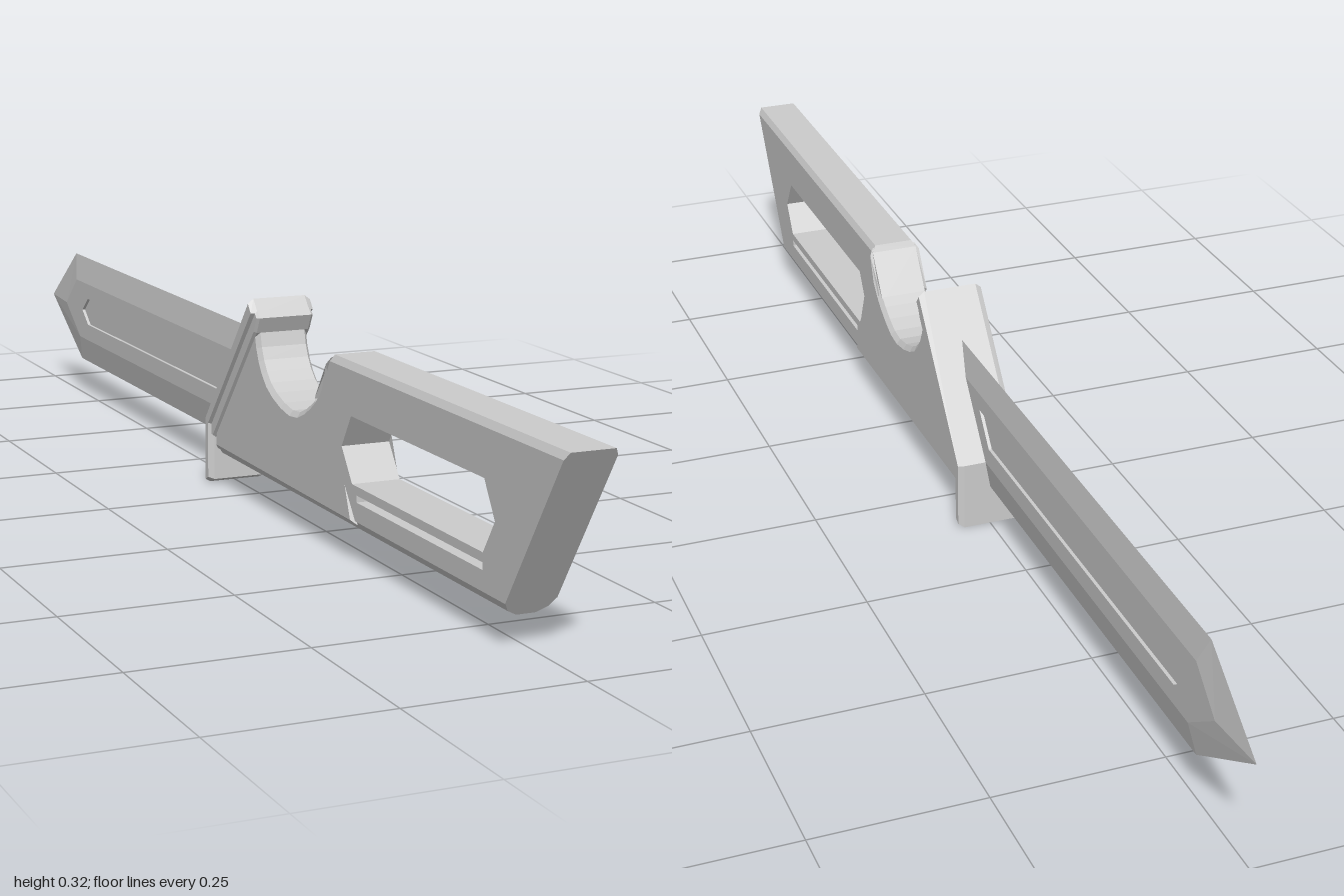
import * as THREE from 'three';

const material = new THREE.MeshStandardMaterial({ color: 0xcccccc, flatShading: true, side: THREE.DoubleSide });
const points = (list) => list.map(([a, b]) => new THREE.Vector2(a, b));

function makeMesh(name, geometry) {
  const mesh = new THREE.Mesh(geometry, material);
  mesh.name = name;
  return mesh;
}

// Side profile given as (z, y), extruded symmetrically across x, with an optional inward bevel
function sideProfile(name, outline, halfWidth, { holes = [], bevel = 0, inset = 0 } = {}) {
  const shape = new THREE.Shape(points(outline));
  holes.forEach((h) => shape.holes.push(new THREE.Path(points(h))));
  const depth = 2 * (halfWidth - bevel);
  const geometry = new THREE.ExtrudeGeometry(shape, {
    depth, bevelEnabled: bevel > 0, bevelThickness: bevel, bevelSize: inset, bevelOffset: -inset, bevelSegments: 1,
  });
  geometry.translate(0, 0, -depth / 2).rotateY(-Math.PI / 2);
  return makeMesh(name, geometry);
}

// Cross-section (x, y) running along z; both ends are cut at a slope depending on height
function rail(name, section, frontZ, rearZ) {
  const geometry = new THREE.ExtrudeGeometry(new THREE.Shape(points(section)), { depth: 1, bevelEnabled: false });
  const p = geometry.attributes.position;
  for (let i = 0; i < p.count; i++) {
    const y = p.getY(i);
    p.setZ(i, THREE.MathUtils.lerp(frontZ(y), rearZ(y), p.getZ(i)));
  }
  geometry.computeVertexNormals();
  return makeMesh(name, geometry);
}

// One half of the blade: ground bevels, flat with an opening, and a sunken fuller
function bladeSide(name, side) {
  const outer = [[0.03, 0.257], [-0.863, 0.257], [-1, 0.16], [-0.838, 0.064], [-0.09, 0.064]];
  const inner = [[0.0, 0.212], [-0.84, 0.212], [-0.9, 0.16], [-0.825, 0.108], [-0.065, 0.108]];
  const groove = [[-0.075, 0.185], [-0.78, 0.185], [-0.81, 0.16], [-0.78, 0.137], [-0.115, 0.137]];
  const top = 0.008, floor = 0.003;
  const positions = [];
  const triangle = (a, b, c) => (side > 0 ? [a, b, c] : [a, c, b])
    .forEach(([x, z, y]) => positions.push(x * side, y, z));
  const band = (a, xa, b, xb) => a.forEach((_, i) => {
    const j = (i + 1) % a.length;
    const [p, q, r, s] = [[xa, ...a[i]], [xa, ...a[j]], [xb, ...b[j]], [xb, ...b[i]]];
    triangle(p, r, q);
    triangle(p, s, r);
  });
  const fill = (contour, holes, x) => {
    const all = [...contour, ...holes.flat()];
    THREE.ShapeUtils.triangulateShape(points(contour), holes.map(points)).forEach((face) => {
      const [a, b, c] = face.map((i) => all[i]);
      const turn = (b[0] - a[0]) * (c[1] - a[1]) - (b[1] - a[1]) * (c[0] - a[0]);
      const corners = (turn < 0 ? [a, b, c] : [a, c, b]).map((v) => [x, ...v]);
      triangle(...corners);
    });
  };
  band(outer, 0, inner, top);
  fill(inner, [groove], top);
  band(groove, top, groove, floor);
  fill(groove, [], floor);
  const geometry = new THREE.BufferGeometry();
  geometry.setAttribute('position', new THREE.Float32BufferAttribute(positions, 3));
  geometry.computeVertexNormals();
  return makeMesh(name, geometry);
}

export function createModel() {
  const model = new THREE.Group();
  model.name = 'knife';
  const rearSlope = (y) => 1 - (0.284 - y) * 0.63;

  // Rear handle with a six-sided opening and a narrow slot
  model.add(sideProfile('handle', [
    [rearSlope(0.274), 0.274], [rearSlope(0.062), 0.062], [0.4, 0.062], [0.29, 0.205], [0.338, 0.274],
  ], 0.037, {
    holes: [
      [[0.83, 0.16], [0.8, 0.209], [0.41, 0.209], [0.38, 0.16], [0.415, 0.113], [0.8, 0.113]],
      [[0.8, 0.09], [0.8, 0.1], [0.43, 0.1], [0.43, 0.09]],
    ],
  }));

  // Chamfered top of the handle and the rounded underside running up to the guard
  model.add(rail('handleTop', [[-0.037, 0.274], [0.037, 0.274], [0.031, 0.284], [-0.031, 0.284]],
    (y) => 0.343 - (0.284 - y) * 0.5, rearSlope));
  model.add(rail('handleUnderside', [
    [-0.037, 0.063], [-0.029, 0.05], [-0.014, 0.042], [0.014, 0.042], [0.029, 0.05], [0.037, 0.063],
  ], () => -0.085, rearSlope));

  // Front grip with the finger notch
  const notch = new THREE.SplineCurve(points([
    [0.316, 0.234], [0.284, 0.204], [0.22, 0.177], [0.14, 0.196], [0.1, 0.236], [0.085, 0.285],
  ])).getPoints(14).map((p) => [p.x, p.y]);
  model.add(sideProfile('frontGrip', [
    [0.43, 0.058], [0.308, 0.214], [0.342, 0.28], ...notch, [-0.083, 0.094], [-0.083, 0.058],
  ], 0.042, { bevel: 0.006, inset: 0.008 }));

  // Slanted guard with a vertical foot, backed by a thinner plate
  model.add(sideProfile('guard', [
    [0.075, 0.322], [0.092, 0.302], [-0.082, 0.097], [-0.082, 0.008], [-0.102, 0], [-0.102, 0.108],
  ], 0.051, { bevel: 0.009, inset: 0.005 }));
  model.add(sideProfile('guardBacking', [
    [0.09, 0.306], [0.1, 0.296], [0.088, 0.272], [-0.078, 0.078], [-0.09, 0.078], [-0.09, 0.1],
  ], 0.046, { bevel: 0.004, inset: 0.003 }));

  // Blade
  const blade = new THREE.Group();
  blade.name = 'blade';
  blade.add(bladeSide('bladeLeft', 1), bladeSide('bladeRight', -1));
  model.add(blade);
  return model;
}
